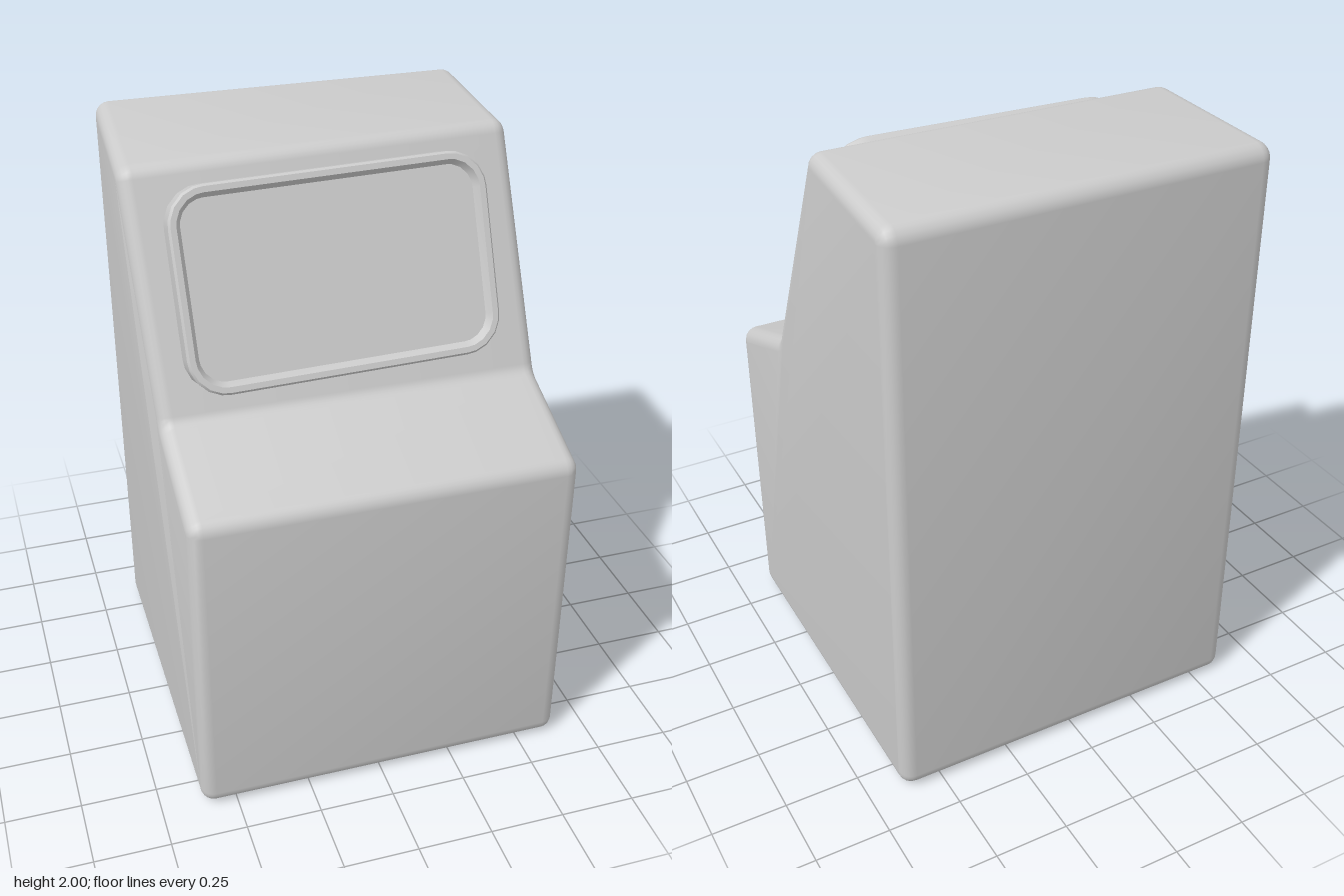
import * as THREE from 'three';
import { toCreasedNormals } from 'three/addons/utils/BufferGeometryUtils.js';

const grey = new THREE.MeshStandardMaterial({ color: 0xcccccc });

// Closed polygon [x, y] with every corner rounded by radius r
function roundedOutline(corners, r, segments) {
  const pts = corners.map(([x, y]) => new THREE.Vector2(x, y));
  const out = [];
  pts.forEach((p, i) => {
    const a = pts.at(i - 1).clone().sub(p).normalize();
    const b = pts[(i + 1) % pts.length].clone().sub(p).normalize();
    const half = Math.acos(a.dot(b)) / 2;
    const centre = a.clone().add(b).setLength(r / Math.sin(half)).add(p);
    const t = r / Math.tan(half);
    const from = a.multiplyScalar(t).add(p).sub(centre);
    const to = b.multiplyScalar(t).add(p).sub(centre);
    for (let s = 0; s <= segments; s++) {
      out.push(from.clone().lerp(to, s / segments).setLength(r).add(centre));
    }
  });
  return out;
}

// Cabinet: side profile pulled across x, with soft edges all round
function makeBody() {
  const profile = [ // [-z, y]
    [-0.628, 0], [0.628, 0], [0.628, 2], [0.02, 2], [-0.255, 1.25], [-0.628, 1.105],
  ];
  const bevel = 0.045, width = 1.252;
  const geo = new THREE.ExtrudeGeometry(new THREE.Shape(roundedOutline(profile, 0.05, 5)), {
    depth: width - 2 * bevel, bevelEnabled: true, bevelThickness: bevel,
    bevelSize: bevel, bevelOffset: -bevel, bevelSegments: 5,
  });
  geo.translate(0, 0, bevel - width / 2).rotateY(Math.PI / 2).translate(0.011, 0, 0);

  // The top front edge leans to one side and twists a little
  const pos = geo.attributes.position;
  for (let i = 0; i < pos.count; i++) {
    const x = pos.getX(i), y = pos.getY(i), z = pos.getZ(i);
    if (y > 1.7 && z > -0.3) {
      pos.setXYZ(i, x - 0.032, y - 0.008 * (1 - x / 0.63), z - 0.012 * x / 0.63);
    }
  }
  return toCreasedNormals(geo, 0.7);
}

// Rounded-rectangle loop, shrunk by inset, at depth z
function screenLoop(inset, z) {
  const w = 0.505 - inset, h = 0.318 - inset;
  return roundedOutline([[-w, -h], [w, -h], [w, h], [-w, h]], 0.12 - inset, 5)
    .map((p) => new THREE.Vector3(p.x, p.y, z));
}

// Skin between successive loops
function skin(loops) {
  const n = loops[0].length, index = [];
  for (let k = 0; k < loops.length - 1; k++) {
    for (let i = 0; i < n; i++) {
      const j = (i + 1) % n, a = k * n + i, b = k * n + j;
      index.push(a, b, b + n, a, b + n, a + n);
    }
  }
  const geo = new THREE.BufferGeometry().setFromPoints(loops.flat());
  geo.setIndex(index);
  return toCreasedNormals(geo, 0.45);
}

function named(name, geometry) {
  const mesh = new THREE.Mesh(geometry, grey);
  mesh.name = name;
  return mesh;
}

export function createModel() {
  const model = new THREE.Group();
  model.name = 'cabinet';
  model.add(named('body', makeBody()));

  // Screen: raised rim with a sloped inner wall around a recessed panel
  const screen = new THREE.Group();
  screen.name = 'screen';
  screen.add(named('screenFrame', skin([
    screenLoop(0, -0.03), screenLoop(0, 0.066), screenLoop(0.007, 0.075),
    screenLoop(0.025, 0.075), screenLoop(0.04, 0.05),
  ])));
  const panel = new THREE.ShapeGeometry(
    new THREE.Shape(screenLoop(0.04, 0).map((p) => new THREE.Vector2(p.x, p.y))));
  panel.translate(0, 0, 0.05);
  screen.add(named('screenPanel', panel));
  screen.position.set(-0.018, 1.633, 0.125);
  screen.rotation.set(-0.36, 0, 0.021);
  model.add(screen);
  return model;
}
